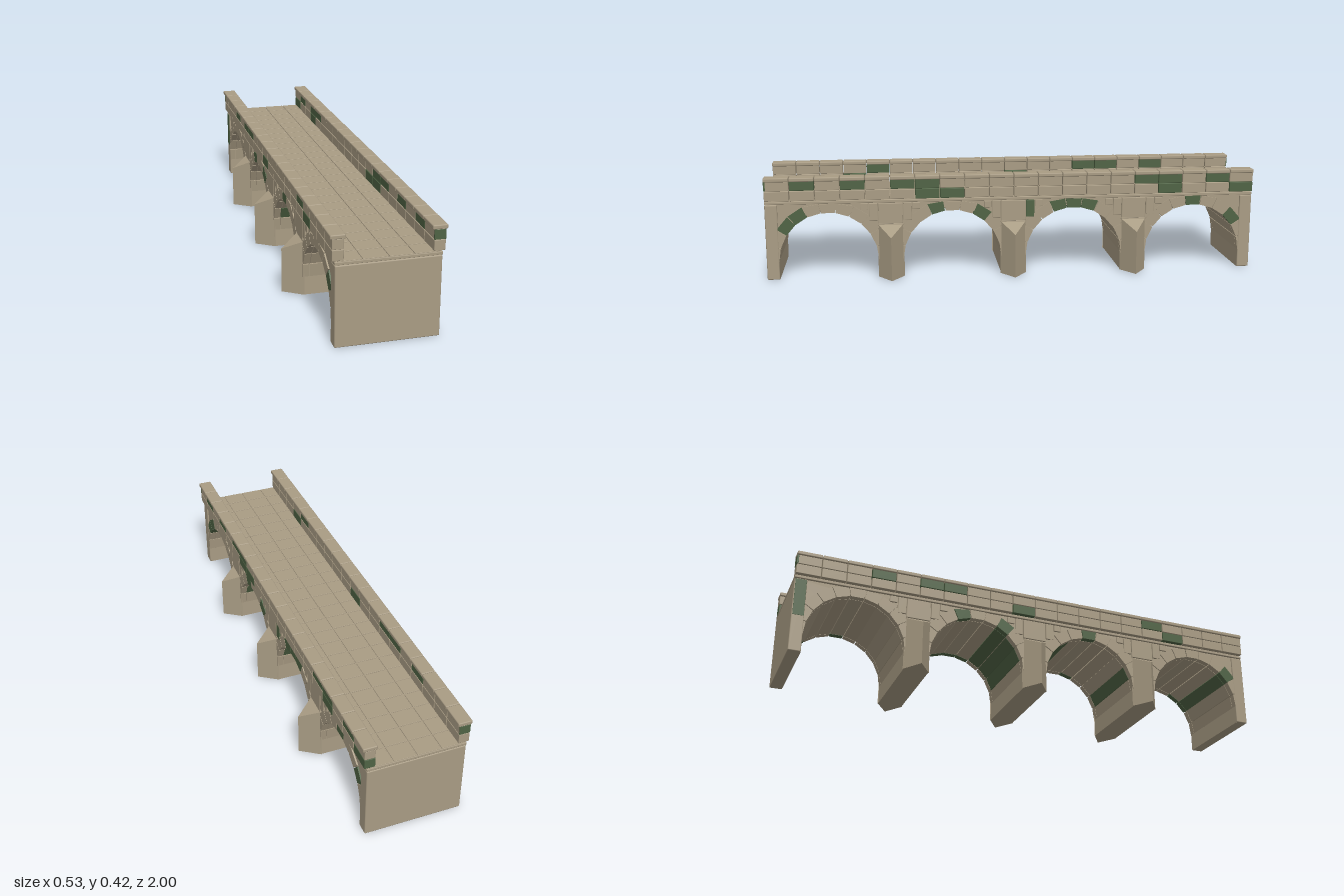
import * as THREE from 'three';
import { RoundedBoxGeometry } from 'three/addons/geometries/RoundedBoxGeometry.js';

const stone = new THREE.MeshStandardMaterial({ color: 0xa99c84 });
stone.name = 'stone';
const moss = new THREE.MeshStandardMaterial({ color: 0x4f6344 });
moss.name = 'mossyStone';

const SPRING = 0.073, R = 0.2, R_OUT = 0.246, STONES = 11;
const ARCHES = [0.75, 0.25, -0.25, -0.75];
const PIERS = [0.5, 0, -0.5];
// Mossy stones of each arch, counted from its +z springing upwards reversed (0 is the -z side)
const BARREL_MOSS = [[8], [1, 3, 9], [7, 8, 9], []];
const LEFT = {
  ring: [[7, 8], [6, 3], [6, 5, 4], [5, 2]],
  lower: [6, 7, 16, 19], // parapet blocks, counted from z = 1
  upper: [1, 3, 5, 6, 15, 16, 18],
};
const RIGHT = {
  ring: [[8], [5], [4, 7], []],
  lower: [3, 10],
  upper: [4, 13, 14, 16],
};

function add(parent, name, geometry, material = stone) {
  const mesh = new THREE.Mesh(geometry, material);
  mesh.name = name;
  parent.add(mesh);
  return mesh;
}

// Softened block given by its limits
function block(parent, name, [x0, x1], [y0, y1], [z0, z1], material = stone, r = 0.002) {
  const g = new RoundedBoxGeometry(x1 - x0, y1 - y0, z1 - z0, 1, r);
  g.translate((x0 + x1) / 2, (y0 + y1) / 2, (z0 + z1) / 2);
  return add(parent, name, g, material);
}

const pick = (list, i) => (list.includes(i) ? moss : stone);
const mirrored = (s, x0, x1) => (s > 0 ? [x0, x1] : [-x1, -x0]);

// Extrudes a (z, y) outline across the bridge between x0 and x1
function across(points, x0, x1) {
  const shape = new THREE.Shape(points.map(([z, y]) => new THREE.Vector2(z, y)));
  const g = new THREE.ExtrudeGeometry(shape, { depth: x1 - x0, bevelEnabled: false });
  g.rotateY(-Math.PI / 2);
  g.translate(x1, 0, 0);
  return g;
}

// Point on an arch, kept below the deck
const onArch = (cz, r, a) => [cz - r * Math.cos(a), Math.min(SPRING + r * Math.sin(a), 0.308)];

// Wedge-shaped arch stone
function wedge(cz, i, r0, r1, x0, x1) {
  const step = Math.PI / STONES, gap = 0.008;
  const a = i * step + gap, b = (i + 1) * step - gap;
  return across([onArch(cz, r0, a), onArch(cz, r0, b), onArch(cz, r1, b), onArch(cz, r1, a)], x0, x1);
}

// Pointed pier buttress with a sloping top
function cutwater() {
  const h = 0.053, x0 = 0.185, x1 = 0.263, top = 0.221, tip = 0.178;
  const A = [x0, 0, h], B = [x1, 0, 0], C = [x0, 0, -h];
  const a = [x0, top, h], b = [x1, tip, 0], c = [x0, top, -h];
  const faces = [A, B, b, A, b, a, B, C, c, B, c, b, a, b, c, A, C, B, C, A, a, C, a, c];
  const g = new THREE.BufferGeometry();
  g.setAttribute('position', new THREE.Float32BufferAttribute(faces.flat(), 3));
  g.computeVertexNormals();
  return g;
}

export function createModel() {
  const bridge = new THREE.Group();
  bridge.name = 'stoneBridge';

  // Wall core with four arched openings
  const outline = [[-0.99, 0.309], [-0.99, 0]];
  for (const cz of [...ARCHES].reverse()) {
    outline.push([cz - R, 0], [cz - R, SPRING]);
    for (let i = 0; i <= STONES; i++) outline.push(onArch(cz, 0.21, Math.PI * i / STONES));
    outline.push([cz + R, SPRING], [cz + R, 0]);
  }
  outline.push([0.99, 0], [0.99, 0.309]);
  add(bridge, 'wallCore', across(outline, -0.186, 0.186));

  // Arch barrels and face rings
  ARCHES.forEach((cz, n) => {
    const arch = new THREE.Group();
    arch.name = 'arch';
    bridge.add(arch);
    for (let i = 0; i < STONES; i++) {
      add(arch, 'barrelStone', wedge(cz, i, R, 0.22, -0.164, 0.164), pick(BARREL_MOSS[n], i));
      for (const s of [1, -1]) {
        const [x0, x1] = mirrored(s, 0.166, 0.1915);
        add(arch, 'ringStone', wedge(cz, i, R, R_OUT, x0, x1), pick((s > 0 ? LEFT : RIGHT).ring[n], i));
      }
    }
  });

  // End abutments
  block(bridge, 'abutment', [-0.193, 0.193], [0, 0.308], [0.95, 1], stone, 0.004);
  block(bridge, 'abutment', [-0.193, 0.193], [0, 0.308], [-1, -0.95], stone, 0.004);
  block(bridge, 'abutmentMoss', [-0.194, -0.188], [0.15, 0.305], [-0.996, -0.952], moss, 0.001);

  // Piers, facing blocks above them and cutwaters
  for (const pz of PIERS) {
    block(bridge, 'pier', [-0.191, 0.191], [0, 0.222], [pz - 0.05, pz + 0.05]);
    block(bridge, 'pierHead', [-0.193, 0.193], [0.223, 0.307], [pz - 0.049, pz + 0.049]);
    for (const s of [1, -1]) {
      const cut = add(bridge, 'cutwater', cutwater());
      cut.position.z = pz;
      if (s < 0) cut.rotation.y = Math.PI;
      // Spandrel facing stones on both sides of the pier
      for (const t of [1, -1]) {
        [[0.052, 0.086, 0.237], [0.089, 0.12, 0.28]].forEach(([a, b, y], k) => {
          const z = t > 0 ? [pz + a, pz + b] : [pz - b, pz - a];
          const mossy = pz === 0 && k === 0 && s > 0 && t < 0;
          block(bridge, 'spandrelStone', mirrored(s, 0.18, 0.1925), [y, 0.307], z, mossy ? moss : stone);
        });
      }
    }
  }

  // Deck and paving slabs
  block(bridge, 'deck', [-0.194, 0.194], [0.31, 0.3215], [-1, 1]);
  const columns = [-0.185, -0.095, 0, 0.091, 0.185], rows = 25;
  for (let r = 0; r < rows; r++) {
    const z0 = -1 + r * 2 / rows, z1 = z0 + 2 / rows;
    for (let c = 0; c < 4; c++) {
      block(bridge, 'pavingSlab', [columns[c] + 0.002, columns[c + 1] - 0.002],
        [0.317, 0.3245], [z0 + 0.002, z1 - 0.002], stone, 0.001);
    }
  }

  // Parapets: two block courses and capstones
  for (const s of [1, -1]) {
    const parapet = new THREE.Group();
    parapet.name = s > 0 ? 'leftParapet' : 'rightParapet';
    bridge.add(parapet);
    const { lower, upper } = s > 0 ? LEFT : RIGHT;
    const x = mirrored(s, 0.161, 0.203);
    for (let i = 0; i < 20; i++) {
      const z1 = 1 - i * 0.1, z = [z1 - 0.0985, z1 - 0.0015];
      block(parapet, 'lowerBlock', x, [0.3255, 0.365], z, pick(lower, i));
      block(parapet, 'upperBlock', x, [0.367, 0.405], z, pick(upper, i));
      block(parapet, 'capstone', mirrored(s, 0.154, 0.21), [0.404, 0.42],
        [z1 - 0.0995, z1 - 0.0005], stone, 0.004);
    }
    // Mossy face on one end block
    const endZ = s > 0 ? [0.992, 0.9995] : [-0.9995, -0.992];
    block(parapet, 'endMoss', mirrored(s, 0.161, 0.2035), [0.367, 0.404], endZ, moss, 0.001);
  }
  return bridge;
}
